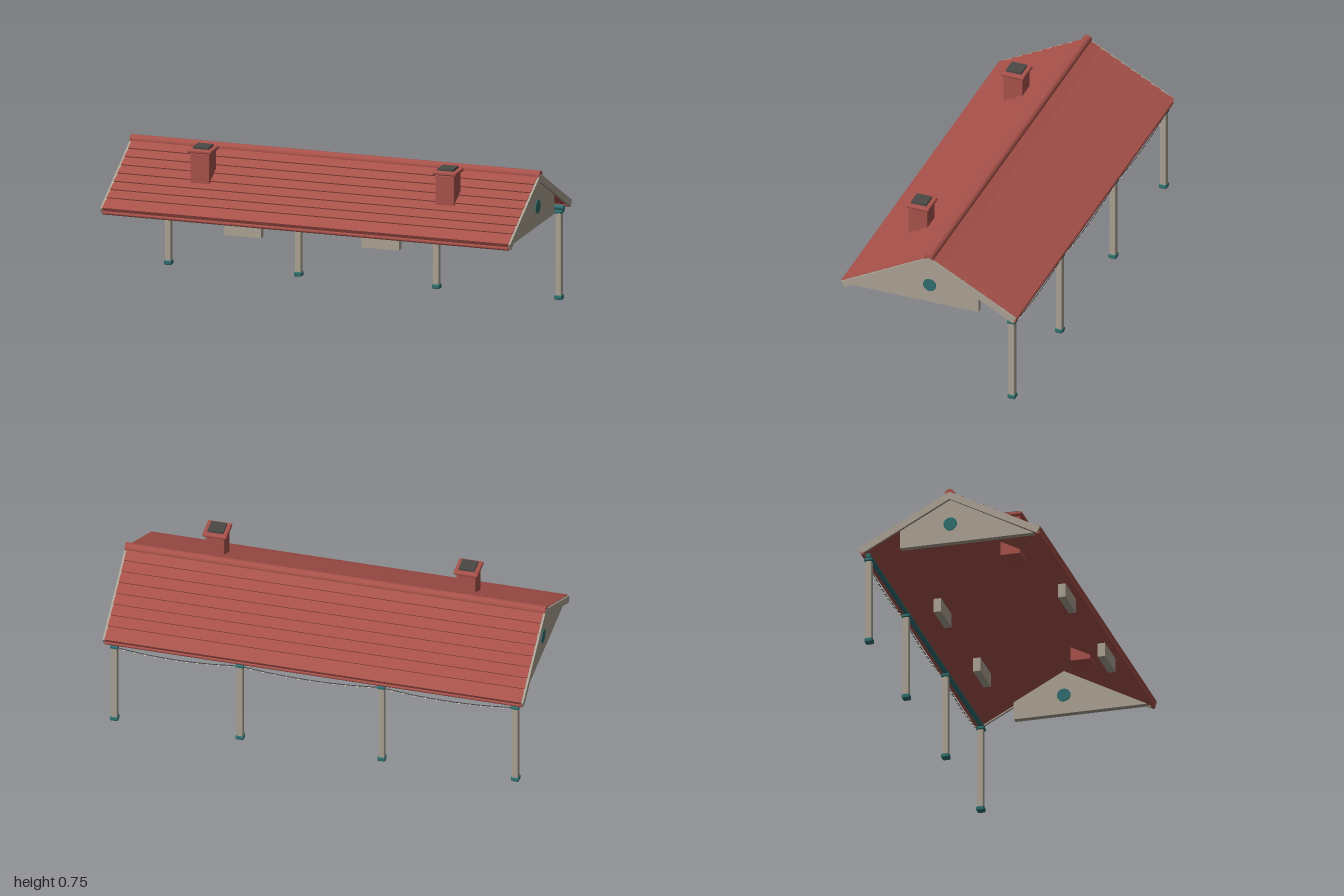
import * as THREE from 'three';
import { RoundedBoxGeometry } from 'three/addons/geometries/RoundedBoxGeometry.js';

const mat = (name, color, side = THREE.FrontSide) => {
  const m = new THREE.MeshStandardMaterial({ color, side });
  m.name = name;
  return m;
};

export function createModel() {
  const model = new THREE.Group();
  model.name = 'porchRoof';
  const red = mat('terracotta', 0xa8524a);
  const stone = mat('paleStone', 0xaba293);
  const teal = mat('teal', 0x2f6e6e);
  const soot = mat('soot', 0x4b4945);
  const cord = mat('cord', 0x4a4648);
  const bulb = mat('bulb', 0xcfc6b8);

  const add = (name, geo, material, x = 0, y = 0, z = 0, parent = model) => {
    const mesh = new THREE.Mesh(geo, material);
    mesh.name = name;
    mesh.position.set(x, y, z);
    parent.add(mesh);
    return mesh;
  };

  // Extrudes a [z, y] outline along x, centred on x = 0
  const alongX = (points, width) => {
    const shape = new THREE.Shape(points.map(p => new THREE.Vector2(p[0], p[1])));
    return new THREE.ExtrudeGeometry(shape, { depth: width, bevelEnabled: false })
      .translate(0, 0, -width / 2).rotateY(-Math.PI / 2);
  };
  const rod = (r, length) => new THREE.CylinderGeometry(r, r, length, 20).rotateZ(Math.PI / 2);

  // Point on the front slope: d down the slope, h above it
  const apex = 0.7, pitch = 0.492, slope = 0.49;
  const at = (d, h) => [
    d * Math.cos(pitch) + h * Math.sin(pitch),
    apex - d * Math.sin(pitch) + h * Math.cos(pitch),
  ];
  // Closes a front-slope profile with its mirror image and an underside
  const gableProfile = (top, thick) => {
    const half = [[0, apex], ...top, at(slope, -thick)];
    const under = [0, apex - thick / Math.cos(pitch)];
    const back = half.slice(1).reverse().map(([z, y]) => [-z, y]);
    return [...half, under, ...back];
  };

  // Roof with stepped tile courses
  const courses = [];
  for (let k = 1; k <= 8; k++) {
    const d = k < 8 ? 0.02 + 0.0567 * k : slope;
    courses.push(at(d, 0.005));
    if (k < 8) courses.push(at(d, -0.001));
  }
  add('tiledRoof', alongX(gableProfile(courses, 0.026), 1.98), red);
  add('ridgeTiles', rod(0.022, 1.998), red, 0, 0.693, 0);
  for (const s of [1, -1]) add('eaveRoll', rod(0.01, 1.98), red, 0, 0.448, s * 0.419);

  // Gable ends with barge boards and round vents
  const barge = alongX(gableProfile([at(slope, 0)], 0.032), 0.012);
  const wall = alongX([[0.398, 0.45], [0, 0.666], [-0.24, 0.537], [-0.24, 0.45]], 0.03);
  for (const s of [1, -1]) {
    add('bargeBoard', barge, stone, s * 0.994);
    add('gableWall', wall, stone, s * 0.968);
    add('gableVent', rod(0.032, 0.038), teal, s * 0.968, 0.543, 0);
  }

  // Wall blocks under the roof
  for (const x of [-0.32, 0.352]) {
    for (const z of [0.373, -0.223]) {
      add('wallBlock', new THREE.BoxGeometry(0.182, 0.067, 0.035), stone, x, 0.4165, z);
    }
  }

  // Chimneys
  for (const x of [-0.582, 0.612]) {
    const chimney = new THREE.Group();
    chimney.name = 'chimney';
    chimney.position.set(x, 0, 0.187);
    model.add(chimney);
    add('chimneyStack', new RoundedBoxGeometry(0.092, 0.19, 0.095, 2, 0.004), red, 0, 0.62, 0, chimney);
    add('chimneyNeck', new THREE.BoxGeometry(0.08, 0.008, 0.08), red, 0, 0.716, 0, chimney);
    add('chimneyCap', new RoundedBoxGeometry(0.116, 0.018, 0.116, 3, 0.007), red, 0, 0.726, 0, chimney);
    add('chimneyFlue', new THREE.BoxGeometry(0.075, 0.012, 0.075), soot, 0, 0.739, 0, chimney);
  }

  // Back porch: posts and beam
  const postX = [-0.955, -0.32, 0.353, 0.95], porchZ = -0.396;
  for (const x of postX) {
    add('post', new RoundedBoxGeometry(0.03, 0.4, 0.03, 2, 0.005), stone, x, 0.213, porchZ);
    add('postBase', new RoundedBoxGeometry(0.038, 0.022, 0.038, 2, 0.006), teal, x, 0.011, porchZ);
    add('postCap', new RoundedBoxGeometry(0.04, 0.015, 0.04, 2, 0.005), teal, x, 0.419, porchZ);
  }
  add('porchBeam', rod(0.012, 1.95), teal, 0, 0.438, porchZ);

  // String of lights sagging between the posts
  const cordZ = -0.413;
  for (let i = 0; i < 3; i++) {
    const a = postX[i], b = postX[i + 1];
    const sag = t => new THREE.Vector3(a + (b - a) * t, 0.423 - 0.08 * t * (1 - t), cordZ);
    const path = new THREE.CatmullRomCurve3([0, 0.25, 0.5, 0.75, 1].map(sag));
    add('lightCord', new THREE.TubeGeometry(path, 20, 0.002, 6), cord);
    for (let k = 1; k < 12; k++) {
      const p = sag(k / 12);
      add('lightBulb', new THREE.SphereGeometry(0.0055, 10, 8), bulb, p.x, p.y - 0.006, p.z);
    }
  }
  return model;
}
